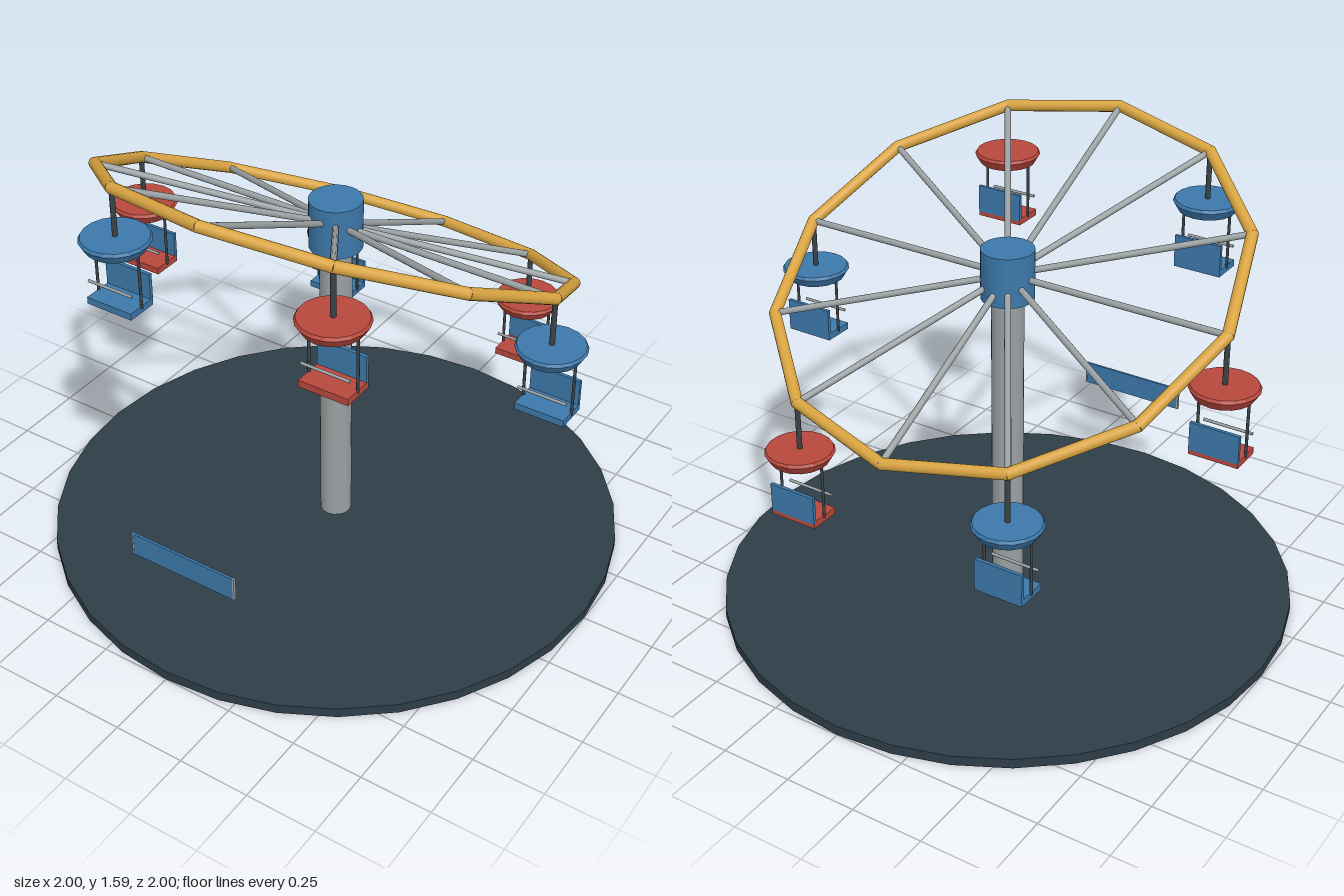
import * as THREE from 'three';

const mat = (name, color) => {
  const m = new THREE.MeshStandardMaterial({ color });
  m.name = name;
  return m;
};

export function createModel() {
  const slate = mat('slate', 0x2e3d48);
  const blue = mat('blue', 0x3c78aa);
  const red = mat('red', 0xb8483c);
  const gold = mat('gold', 0xd9a441);
  const grey = mat('grey', 0x9aa0a2);
  const dark = mat('dark steel', 0x3a4247);

  const model = new THREE.Group();
  model.name = 'tiltedWheelRide';

  const add = (parent, name, geometry, material, x = 0, y = 0, z = 0) => {
    const mesh = new THREE.Mesh(geometry, material);
    mesh.name = name;
    mesh.position.set(x, y, z);
    parent.add(mesh);
    return mesh;
  };
  // Round bar between two points
  const bar = (parent, name, a, b, r, material, extra = 0) => {
    const dir = b.clone().sub(a);
    const mesh = add(parent, name, new THREE.CylinderGeometry(r, r, dir.length() + extra, 12), material);
    mesh.position.copy(a).add(b).multiplyScalar(0.5);
    mesh.quaternion.setFromUnitVectors(new THREE.Vector3(0, 1, 0), dir.normalize());
    return mesh;
  };
  const v = (x, y, z) => new THREE.Vector3(x, y, z);

  // Base, mast and hub
  add(model, 'base', new THREE.CylinderGeometry(1, 1, 0.035, 32), slate, 0, 0.0175, 0);
  add(model, 'mast', new THREE.CylinderGeometry(0.055, 0.055, 1.12, 24), grey, 0, 0.595, 0);
  add(model, 'hub', new THREE.CylinderGeometry(0.09, 0.09, 0.175, 24), blue, 0, 1.223, 0);

  // Sign panel with end trims
  add(model, 'signPanel', new THREE.BoxGeometry(0.39, 0.084, 0.009), blue, 0, 0.398, 0.877);
  for (const s of [-1, 1])
    add(model, 'signTrim', new THREE.BoxGeometry(0.006, 0.084, 0.011), grey, s * 0.198, 0.398, 0.877);

  // Tilted twelve-sided wheel, raised at the front
  const tilt = 0.459, hubY = 1.217, radius = 0.8;
  const rim = (i) => {
    const a = (i * Math.PI) / 6;
    return v(
      radius * Math.cos(a),
      hubY + radius * Math.sin(a) * Math.sin(tilt),
      radius * Math.sin(a) * Math.cos(tilt)
    );
  };
  const wheel = new THREE.Group();
  wheel.name = 'wheel';
  model.add(wheel);
  for (let i = 0; i < 12; i++) {
    bar(wheel, 'rimSegment', rim(i), rim(i + 1), 0.02, gold, 0.008);
    bar(wheel, 'spoke', v(0, hubY, 0), rim(i), 0.011, grey);
  }

  // Hanging seats; each group's origin is its pivot on the rim
  const canopyProfile = [[0, -0.209], [0.097, -0.209], [0.116, -0.178], [0.11, -0.168], [0, -0.168]]
    .map(([r, y]) => new THREE.Vector2(r, y));
  const canopyGeo = new THREE.LatheGeometry(canopyProfile, 18).toNonIndexed();
  canopyGeo.computeVertexNormals();

  for (let i = 0; i < 6; i++) {
    const paint = i % 2 ? red : blue;
    const seat = new THREE.Group();
    seat.name = 'hangingSeat';
    seat.position.copy(rim(i * 2));
    model.add(seat);

    bar(seat, 'hanger', v(0, 0, 0), v(0, -0.18, 0), 0.009, dark);
    add(seat, 'canopy', canopyGeo, paint);
    for (const s of [-1, 1])
      bar(seat, 'sideRod', v(s * 0.086, -0.2, 0), v(s * 0.086, -0.405, 0), 0.005, dark);
    add(seat, 'seatPan', new THREE.BoxGeometry(0.174, 0.024, 0.11), paint, 0, -0.408, 0);
    add(seat, 'backrest', new THREE.BoxGeometry(0.174, 0.1, 0.012), blue, 0, -0.355, -0.05);
    bar(seat, 'lapBar', v(-0.086, -0.341, 0.042), v(0.086, -0.341, 0.042), 0.005, grey);
  }
  return model;
}
